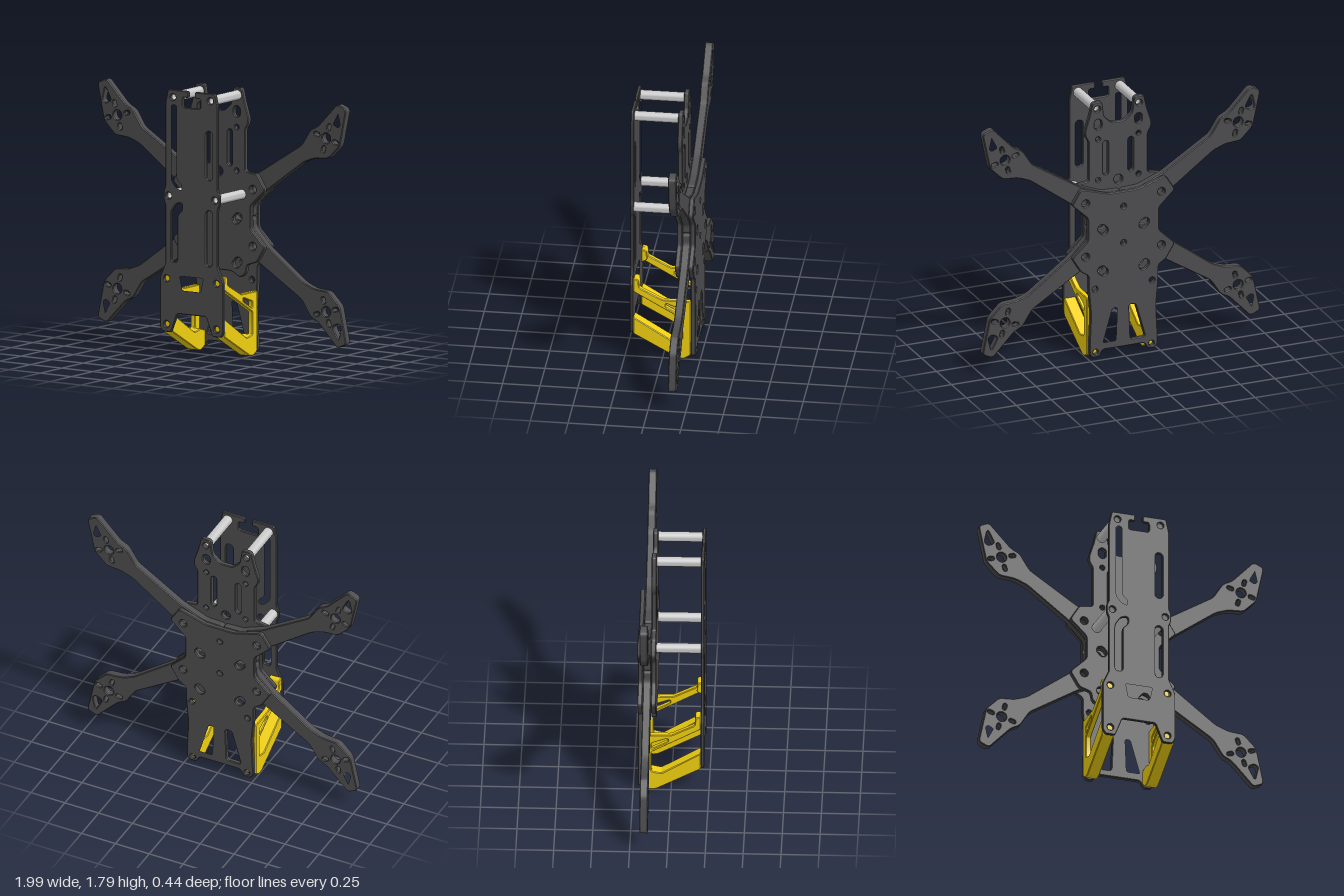
import * as THREE from 'three';
import { toCreasedNormals } from 'three/addons/utils/BufferGeometryUtils.js';

const carbon = new THREE.MeshStandardMaterial({ color: 0x4c4c4e });
const yellow = new THREE.MeshStandardMaterial({ color: 0xf0d010 });
const grey = new THREE.MeshStandardMaterial({ color: 0xcccccc });

// Closed path through points with each corner rounded by radius r
function rounded(points, r, Type = THREE.Path) {
  const path = new Type();
  const p = points.map(([x, y]) => new THREE.Vector2(x, y));
  p.forEach((c, i) => {
    const towards = (q) => {
      const d = q.clone().sub(c);
      return c.clone().addScaledVector(d.normalize(), Math.min(r, c.distanceTo(q) * 0.45));
    };
    const a = towards(p[(i + p.length - 1) % p.length]);
    const b = towards(p[(i + 1) % p.length]);
    if (i === 0) path.moveTo(a.x, a.y); else path.lineTo(a.x, a.y);
    path.quadraticCurveTo(c.x, c.y, b.x, b.y);
  });
  path.closePath();
  return path;
}

const circle = (x, y, r) => new THREE.Path().absarc(x, y, r, 0, Math.PI * 2);

// Round-ended slot centred at (x, y), turned by angle
function slot(x, y, length, width, angle = Math.PI / 2) {
  const path = new THREE.Path(), h = (length - width) / 2, r = width / 2;
  const dx = Math.cos(angle) * h, dy = Math.sin(angle) * h;
  path.absarc(x + dx, y + dy, r, angle - Math.PI / 2, angle + Math.PI / 2);
  path.absarc(x - dx, y - dy, r, angle + Math.PI / 2, angle + Math.PI * 1.5);
  path.closePath();
  return path;
}

// Full outline from its +x half, listed from top to bottom
const mirrored = (half) => [...half, ...half.filter(([x]) => x > 0).map(([x, y]) => [-x, y]).reverse()];
const pair = (make) => [make(1), make(-1)];

function slab(name, points, holes, z0, z1, material = carbon, r = 0.02) {
  const shape = rounded(points, r, THREE.Shape);
  shape.holes = holes;
  const b = 0.005;
  const geo = new THREE.ExtrudeGeometry(shape, {
    depth: z1 - z0 - 2 * b, bevelThickness: b, bevelSize: b, bevelOffset: -b, bevelSegments: 1, curveSegments: 8,
  });
  geo.translate(0, 0, z0 + b);
  const mesh = new THREE.Mesh(toCreasedNormals(geo, 0.6), material);
  mesh.name = name;
  return mesh;
}

const MID = 0.93; // height of the arm cross
const collar = [[0.305, 1.225], [0.37, 1.12], [0.255, 1.01], [0.255, 0.85], [0.37, 0.74], [0.305, 0.635]];
const armScrews = () => pair((s) => [1.12, 0.74].map((y) => circle(s * 0.272, y, 0.025))).flat();
const strapHoles = () => pair((s) => [MID - 0.015, 0.62].map((y) => slot(s * 0.148, y, 0.075, 0.055, s * 0.8))).flat();

function frontPlate() {
  const half = [
    [0.025, 1.79], [0.19, 1.79], [0.21, 1.7], [0.21, 1.14], [0.225, 1.11], [0.225, 1.05], [0.21, 1.02],
    [0.21, 0.63], [0.255, 0.53], [0.255, 0.2], [0.235, 0.167], [0.165, 0.167], [0.115, 0.295],
  ];
  // T-shaped notch in the top edge
  const notch = [[-0.025, 1.745], [-0.07, 1.745], [-0.07, 1.68], [0.07, 1.68], [0.07, 1.745], [0.025, 1.745]];
  const holes = [
    rounded([[-0.165, 1.695], [-0.115, 1.695], [-0.115, 1.195], [-0.075, 1.165], [-0.075, 1.115], [-0.125, 1.13], [-0.165, 1.18]], 0.022),
    rounded([[-0.165, 0.64], [-0.115, 0.64], [-0.115, 0.955], [-0.075, 0.99], [-0.075, 1.04], [-0.125, 1.03], [-0.165, 0.97]], 0.022),
    slot(0.14, 1.373, 0.325, 0.05),
    slot(0.14, 0.82, 0.37, 0.05),
    rounded([[-0.1, 0.555], [0.1, 0.555], [0.078, 0.45], [-0.078, 0.45]], 0.02),
    ...pair((s) => [[0.15, 1.74], [0.185, 1.08], [0.2, 0.525], [0.2, 0.22]].map(([x, y]) => circle(s * x, y, 0.021))).flat(),
  ];
  return slab('frontPlate', [...mirrored(half), ...notch], holes, 0.196, 0.219, carbon, 0.014);
}

function middlePlate() {
  const half = [
    [0.045, 1.63], [0.1, 1.68], [0.115, 1.79], [0.185, 1.79], [0.205, 1.7], [0.24, 1.59], [0.235, 1.55], [0.212, 1.52],
    [0.212, 1.235], ...collar, [0.225, 0.61], [0.215, 0.55], [0.17, 0.52], [0.1, 0.56],
  ];
  const holes = [
    circle(0, 1.22, 0.03), ...armScrews(), ...strapHoles(),
    ...pair((s) => [
      circle(s * 0.15, 1.74, 0.021), slot(s * 0.145, 1.63, 0.07, 0.05),
      circle(s * 0.145, 1.525, 0.015), circle(s * 0.145, 1.235, 0.015),
      slot(s * 0.09, 1.385, 0.24, 0.035), circle(s * 0.185, 1.08, 0.018),
    ]).flat(),
  ];
  return slab('middlePlate', mirrored(half), holes, -0.13, -0.096);
}

function backPlate() {
  const half = [
    [0.1, 1.165], [0.2, 1.195], ...collar, [0.25, 0.6], [0.25, 0.5], [0.235, 0.32],
    [0.245, 0.1], [0.245, 0.04], [0.225, 0.013], [0.175, 0.013], [0.15, 0.06],
  ];
  const holes = [
    ...armScrews(), ...strapHoles(), circle(0, 1.06, 0.018), circle(0, 0.8, 0.018),
    ...pair((s) => [
      rounded([[s * 0.04, 0.35], [s * 0.085, 0.35], [s * 0.155, 0.105], [s * 0.05, 0.105]], 0.02),
      circle(s * 0.205, 0.5, 0.018), circle(s * 0.2, 0.05, 0.018),
    ]).flat(),
  ];
  return slab('backPlate', mirrored(half), holes, -0.219, -0.186);
}

// One arm with its motor mount; sx and sy choose the quadrant
function arm(sx, sy) {
  const at = ([x, y]) => [sx * x, MID + sy * (y - MID)];
  const outline = [
    [0, 0.932], [0, 1.16], [0.13, 1.165], [0.3, 1.235], [0.64, 1.447], [0.71, 1.557], [0.77, 1.585], [0.925, 1.747],
    [0.998, 1.715], [0.945, 1.465], [0.855, 1.375], [0.745, 1.367], [0.66, 1.335], [0.36, 1.115], [0.25, 1.0],
    [0.25, 0.932], [0.2, 0.932], [0.18, 0.96], [0.12, 0.96], [0.1, 0.932],
  ];
  const [mx, my] = [0.837, 1.51];
  const holes = [circle(...at([mx, my]), 0.033), circle(...at([0.272, 1.12]), 0.025)];
  for (let i = 0; i < 4; i++) {
    const a = -0.28 + i * Math.PI / 2;
    const c = at([mx + 0.078 * Math.cos(a), my + 0.078 * Math.sin(a)]);
    holes.push(slot(...c, 0.045, 0.024, Math.atan2(sy * Math.sin(a), sx * Math.cos(a))));
  }
  holes.push(rounded([[0.935, 1.695], [0.957, 1.6], [0.93, 1.582], [0.887, 1.605]].map(at), 0.02));
  const name = (sy > 0 ? 'upper' : 'lower') + (sx > 0 ? 'Left' : 'Right') + 'Arm';
  return slab(name, outline.map(at), holes, -0.185, -0.131, carbon, 0.025);
}

// Hollow spacer between the front and middle plates
function standoff(x, y) {
  const [z0, z1] = [-0.096, 0.196];
  const profile = [[0.021, z0], [0.033, z0], [0.033, z1], [0.021, z1], [0.021, z0]];
  const geo = new THREE.LatheGeometry(profile.map(([r, h]) => new THREE.Vector2(r, h)), 24);
  geo.rotateX(Math.PI / 2);
  const mesh = new THREE.Mesh(toCreasedNormals(geo, 0.6), grey);
  mesh.name = 'standoff';
  mesh.position.set(x, y, 0);
  return mesh;
}

// Camera guard for one side, drawn in the (z, y) plane
function cameraGuard(s) {
  const guard = new THREE.Group();
  guard.name = s > 0 ? 'leftCameraGuard' : 'rightCameraGuard';
  const part = (name, points, holes, x0, x1) => {
    const mesh = slab(name, points.map(([z, y]) => [-z, y]), holes, Math.min(s * x0, s * x1), Math.max(s * x0, s * x1), yellow, 0.012);
    mesh.rotation.y = Math.PI / 2;
    guard.add(mesh);
  };
  const lower = [[0.196, 0.168], [-0.1, 0.005], [-0.14, 0.001], [-0.186, 0.03]];
  const inner = [[-0.13, 0.145], [-0.065, 0.13], [0.196, 0.29]];
  part('sideFrame', [
    ...lower, [-0.186, 0.43], [0, 0.43], [0.155, 0.51], [0.162, 0.57], [0.196, 0.575], [0.196, 0.48], [-0.13, 0.295], ...inner,
  ], [rounded([[0.02, 0.405], [0.13, 0.365], [0.13, 0.32], [0.02, 0.38]], 0.012)], 0.212, 0.25);
  part('lowerBar', [...lower, [-0.186, 0.13], ...inner], [], 0.167, 0.249);
  part('screwTab', [[0.155, 0.5], [0.16, 0.57], [0.195, 0.574], [0.195, 0.482]], [], 0.167, 0.249);
  return guard;
}

export function createModel() {
  const model = new THREE.Group();
  model.name = 'droneFrame';
  model.add(frontPlate(), middlePlate(), backPlate());
  for (const s of [1, -1]) {
    model.add(arm(s, 1), arm(s, -1), standoff(s * 0.15, 1.74), standoff(s * 0.185, 1.08), cameraGuard(s));
  }
  return model;
}
